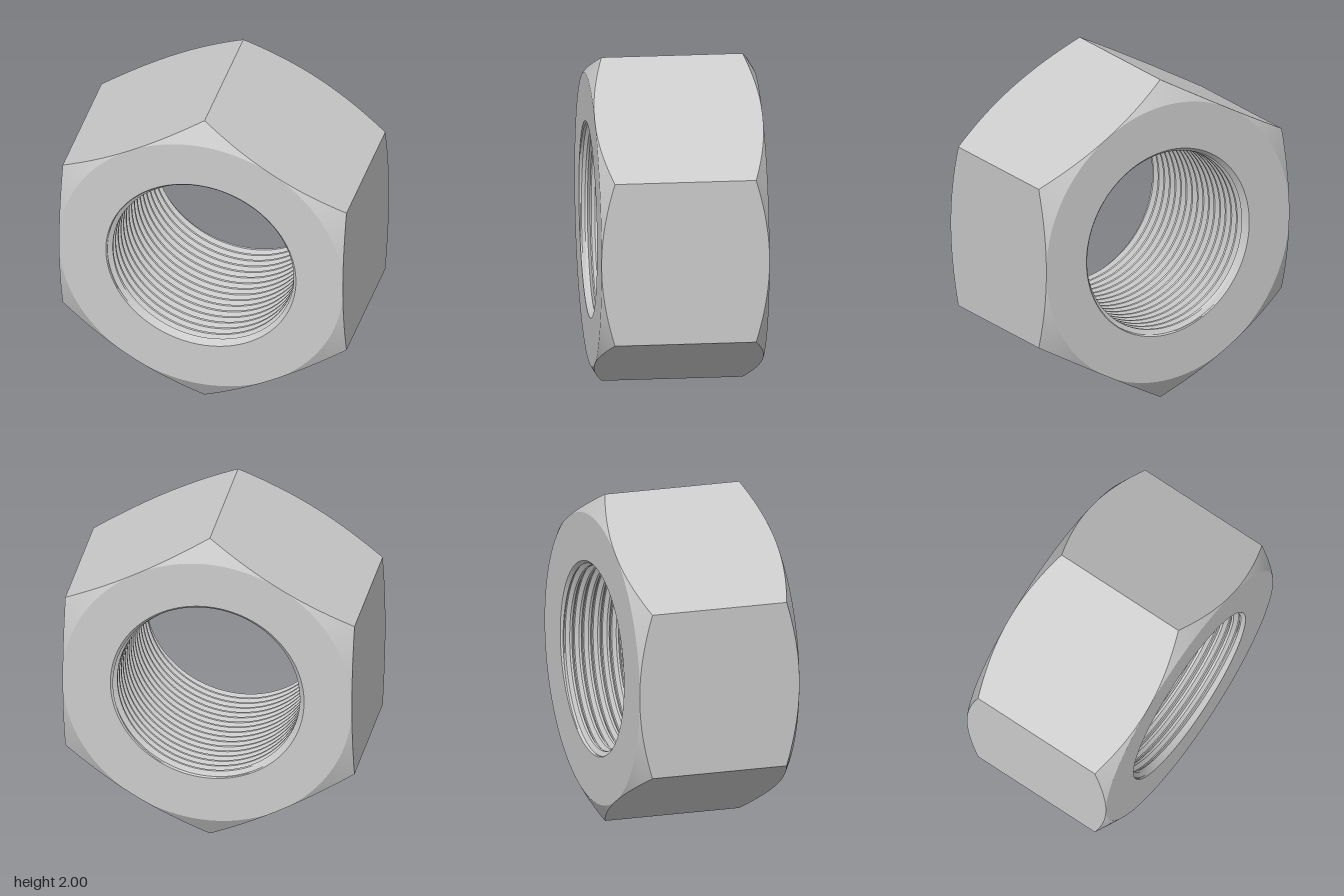
import * as THREE from 'three';
import { toCreasedNormals } from 'three/addons/utils/BufferGeometryUtils.js';

const HALF = 0.495;      // half the nut's depth
const APOTHEM = 0.866;   // centre to flat
const CREST = 0.548;     // thread radii
const ROOT = 0.575;
const MOUTH = 0.58;      // countersunk mouth of the bore
const PITCH = 0.0577;
const PER_SIDE = 24;
const COLS = PER_SIDE * 6;

// Closed sweep around z: at(row, turn, angle) gives [radius, z]
function sweep(rows, at) {
  const point = (i, j) => {
    const turn = j / COLS;
    const angle = turn * Math.PI * 2 + Math.PI / 6;
    const [r, z] = at(i, turn, angle);
    return new THREE.Vector3(r * Math.cos(angle), r * Math.sin(angle), z);
  };
  const grid = [];
  for (let i = 0; i < rows; i++) {
    grid.push(Array.from({ length: COLS + 1 }, (_, j) => point(i, j)));
  }
  const out = [];
  const tri = (a, b, c) => {
    const area = b.clone().sub(a).cross(c.clone().sub(a)).length();
    if (area > 1e-9) for (const p of [a, b, c]) out.push(p.x, p.y, p.z);
  };
  for (let i = 0; i < rows - 1; i++) {
    for (let j = 0; j < COLS; j++) {
      const a = grid[i][j], b = grid[i][j + 1];
      const c = grid[i + 1][j + 1], d = grid[i + 1][j];
      tri(a, b, c);
      tri(a, c, d);
    }
  }
  const geo = new THREE.BufferGeometry();
  geo.setAttribute('position', new THREE.Float32BufferAttribute(out, 3));
  return toCreasedNormals(geo, 0.35);
}

// Hexagonal body: back face, conical chamfer, flats, chamfer, front face
function bodyGeometry() {
  return sweep(6, (i, turn, angle) => {
    const fromFlat = ((angle + Math.PI / 6) % (Math.PI / 3)) - Math.PI / 6;
    const hex = APOTHEM / Math.cos(fromFlat);
    const edge = HALF - (hex - APOTHEM) * 0.59;
    return [
      [MOUTH, -HALF], [APOTHEM, -HALF], [hex, -edge],
      [hex, edge], [APOTHEM, HALF], [MOUTH, HALF],
    ][i];
  });
}

// Helical thread, cut by the countersinks and trimmed at both faces
function threadGeometry() {
  const mid = (CREST + ROOT) / 2;
  const profile = [
    [0, CREST], [0.25, CREST], [0.406, mid],
    [0.5625, ROOT], [0.6875, ROOT], [0.844, mid],
  ];
  const turns = Math.ceil((2 * HALF) / PITCH) + 1;
  return sweep(turns * profile.length + 1, (i, turn) => {
    const [s, radius] = profile[i % profile.length];
    const down = Math.floor(i / profile.length) + s - turn;
    const z = THREE.MathUtils.clamp(HALF - down * PITCH, -HALF, HALF);
    const sink = MOUTH - (HALF - Math.abs(z));
    return [Math.abs(z) === HALF ? MOUTH : Math.max(radius, sink), z];
  });
}

export function createModel() {
  const material = new THREE.MeshStandardMaterial({ color: 0xcccccc });
  const group = new THREE.Group();
  group.name = 'hexNut';
  const add = (name, geometry) => {
    const mesh = new THREE.Mesh(geometry, material);
    mesh.name = name;
    mesh.position.y = 1;
    group.add(mesh);
  };
  add('hexBody', bodyGeometry());
  add('threadedBore', threadGeometry());
  return group;
}
